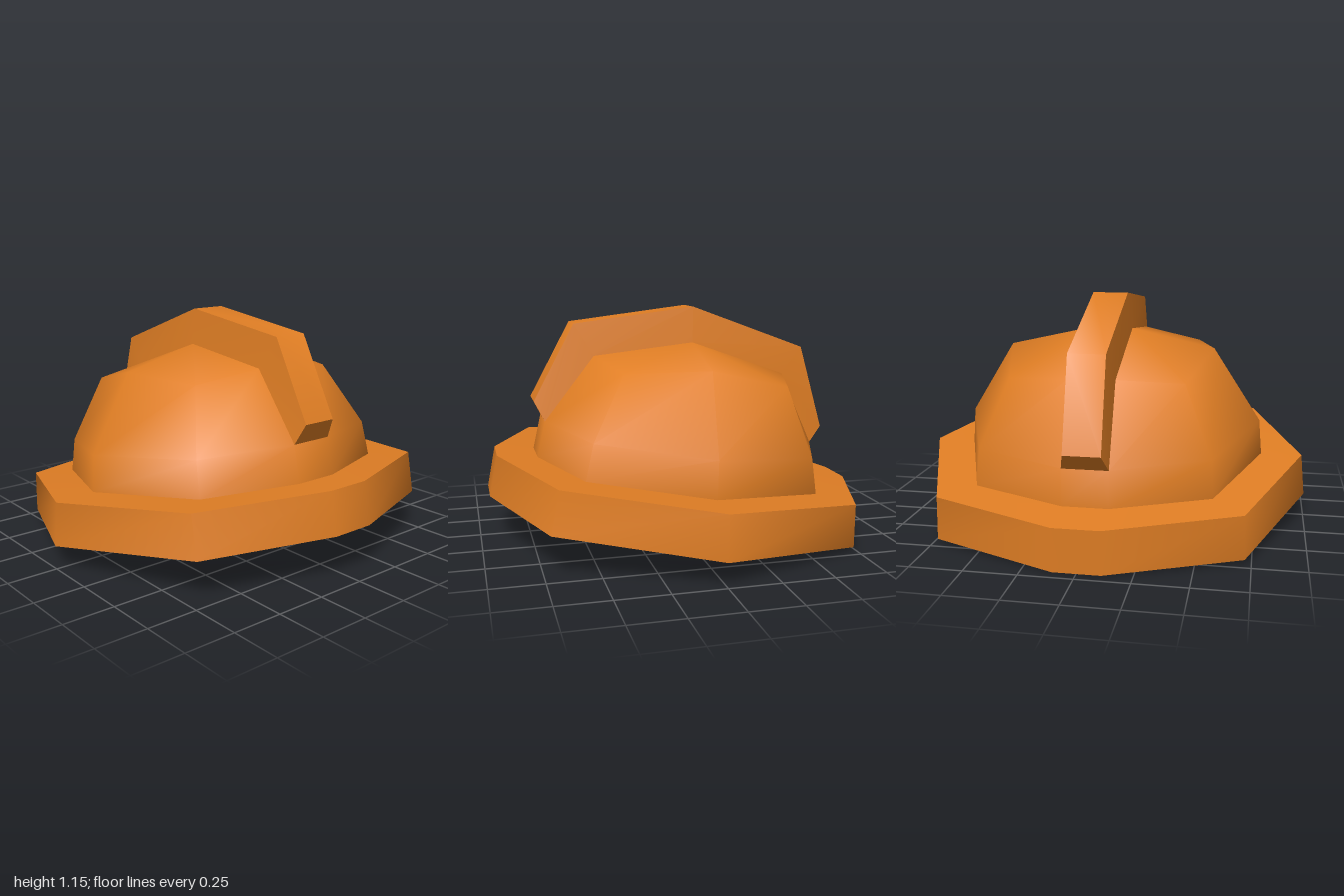
import * as THREE from 'three';
import { mergeVertices, toCreasedNormals } from 'three/addons/utils/BufferGeometryUtils.js';

// Full ten-point loop from five points of its +x half, front to back
const mirrorLoop = (half) => [...half, ...half.slice().reverse().map(([x, y, z]) => [-x, y, z])];

// Loop lying in the tilted brim plane at height h, given [x, z] pairs
const tiltedLoop = (h, half) => mirrorLoop(half.map(([x, z]) => [x, h + 0.1215 * z, z]));

// Skin between consecutive loops; creases sharper than the given angle stay hard
function loft(loops, crease, closed = true) {
  const pos = [];
  const n = loops[0].length;
  for (let k = 0; k < loops.length - 1; k++) {
    const a = loops[k], b = loops[k + 1];
    for (let i = 0; i < (closed ? n : n - 1); i++) {
      const j = (i + 1) % n;
      pos.push(...a[i], ...a[j], ...b[j], ...a[i], ...b[j], ...b[i]);
    }
  }
  const geo = new THREE.BufferGeometry();
  geo.setAttribute('position', new THREE.Float32BufferAttribute(pos, 3));
  if (crease) return toCreasedNormals(geo, crease);
  const smooth = mergeVertices(geo, 1e-4);
  smooth.computeVertexNormals();
  return smooth;
}

export function createModel() {
  const group = new THREE.Group();
  const orange = new THREE.MeshStandardMaterial({ color: 0xe07e24 });
  const add = (name, geo) => {
    const mesh = new THREE.Mesh(geo, orange);
    mesh.name = name;
    group.add(mesh);
  };

  // Brim: head opening, lower edge, upper edge, foot of the dome
  const opening = tiltedLoop(0.095, [[0.11, 0.64], [0.49, 0.47], [0.68, 0], [0.49, -0.48], [0.11, -0.63]]);
  const lower = tiltedLoop(0.12, [[0.11, 0.95], [0.72, 0.72], [1, 0], [0.72, -0.725], [0.11, -0.945]]);
  const upper = tiltedLoop(0.33, [[0.11, 0.91], [0.72, 0.68], [0.98, -0.01], [0.715, -0.73], [0.11, -0.955]]);
  const foot = tiltedLoop(0.335, [[0.11, 0.71], [0.565, 0.54], [0.775, -0.02], [0.565, -0.59], [0.11, -0.755]]);
  add('brim', loft([opening, lower, upper, foot], 1.05));

  // Dome: foot, waist, shoulder and a short ridge on top
  const waist = mirrorLoop([[0.11, 0.6, 0.67], [0.55, 0.57, 0.5], [0.76, 0.51, -0.03], [0.555, 0.44, -0.57], [0.11, 0.42, -0.75]]);
  const shoulder = mirrorLoop([[0.11, 0.92, 0.42], [0.42, 0.865, 0.33], [0.525, 0.88, -0.07], [0.42, 0.775, -0.49], [0.11, 0.8, -0.58]]);
  const ridge = mirrorLoop(Array(5).fill([0.11, 0.975, -0.09]));
  add('dome', loft([foot, waist, shoulder, ridge], 0));

  // Lining: the dome shrunk and lowered, facing inward
  const shrink = (loop, s, drop) => loop.map(([x, y, z]) =>
    [Math.abs(x) < 0.12 ? x : x * s, y - drop, (z + 0.05) * s - 0.05]);
  add('lining', loft([shrink(ridge, 0.86, 0.1), shrink(shoulder, 0.86, 0.09), shrink(waist, 0.87, 0.03), opening], 0.5));

  // Crest: tapered band from front to back over the dome
  const base = [[0.67, 0.6], [0.42, 0.92], [-0.09, 0.975], [-0.58, 0.8], [-0.75, 0.42]];
  const top = [[0.72, 0.7], [0.515, 1.08], [-0.1, 1.155], [-0.695, 0.935], [-0.82, 0.5]];
  const at = (points, x) => points.map(([z, y]) => [x, y, z]);
  const first = (pts, x) => [x, pts[0][1], pts[0][0]];
  const last = (pts, x) => [x, pts[4][1], pts[4][0]];
  const crestLoops = [at(base, 0.11), at(top, 0.088), at(top, -0.088), at(base, -0.11)];
  const front = [[first(base, -0.11), first(base, 0.11)], [first(top, -0.088), first(top, 0.088)]];
  const back = [[last(base, 0.11), last(base, -0.11)], [last(top, 0.088), last(top, -0.088)]];
  add('crest', loft(crestLoops, 1.05, false));
  add('crestFrontEnd', loft(front, 1.05, false));
  add('crestBackEnd', loft(back, 1.05, false));

  return group;
}
